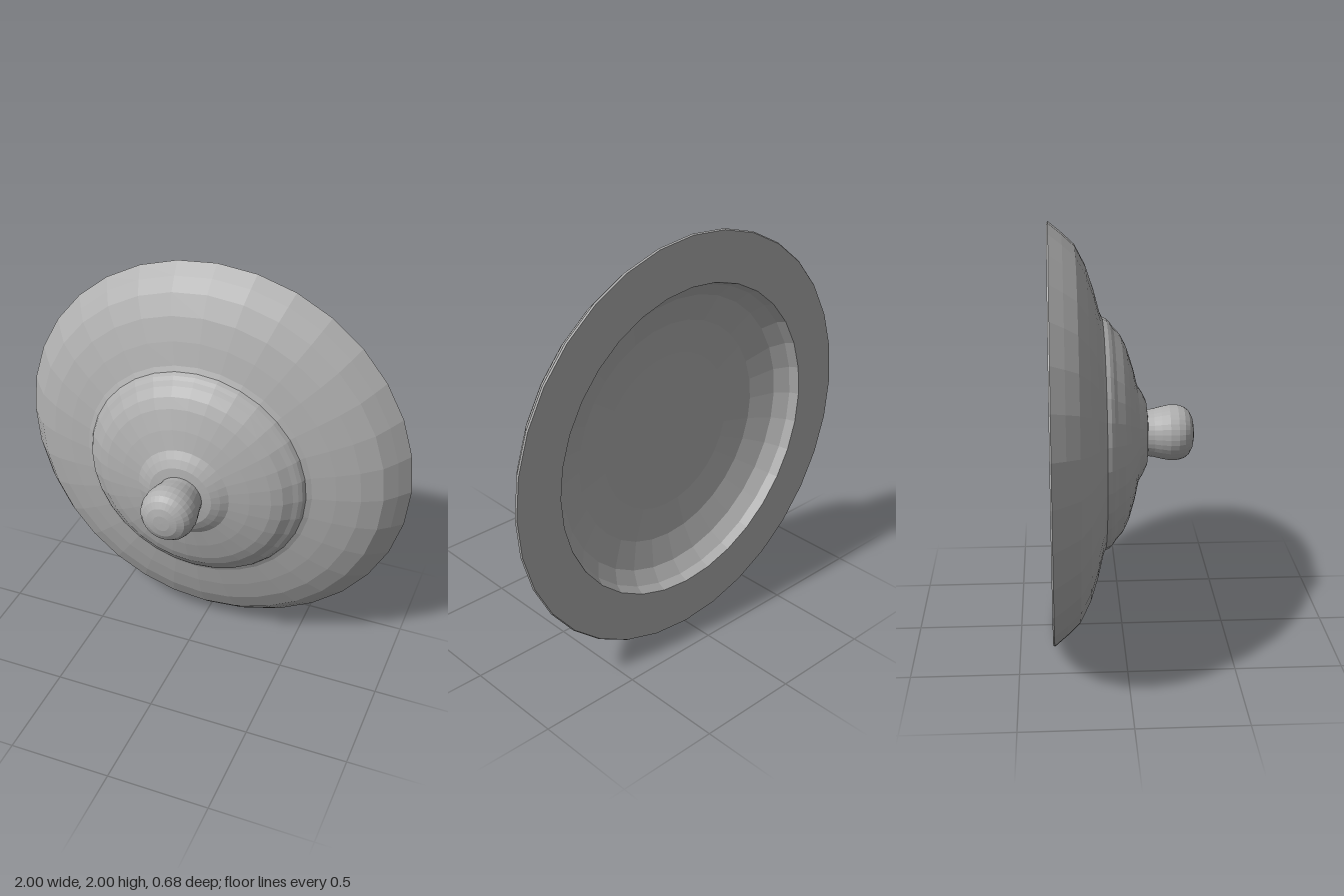
import * as THREE from 'three';

const SEGMENTS = 32;

// Turns a profile of [radius, z] points, listed from back to front, around the z axis.
function turned(name, profile, material) {
  const points = profile.map(([r, z]) => new THREE.Vector2(r, z));
  const geometry = new THREE.LatheGeometry(points, SEGMENTS);
  geometry.rotateX(Math.PI / 2);
  const mesh = new THREE.Mesh(geometry, material);
  mesh.name = name;
  return mesh;
}

export function createModel() {
  const gray = new THREE.MeshStandardMaterial({ color: 0xb0b0b0 });
  gray.name = 'plain gray';
  gray.flatShading = true;

  const model = new THREE.Group();
  model.name = 'domedLid';

  // Hollow back: flat floor, curved wall and broad flat rim
  model.add(turned('hollowBack', [
    [0, -0.195], [0.39, -0.195], [0.55, -0.21], [0.68, -0.25],
    [0.74, -0.3], [0.76, -0.342], [0.995, -0.342], [1, -0.335],
  ], gray));

  // Stepped dome, from the outer edge in to the neck
  model.add(turned('steppedDome', [
    [1, -0.335], [0.95, -0.274], [0.895, -0.215], [0.8, -0.166], [0.69, -0.13],
    [0.58, -0.102], [0.555, -0.09], [0.545, -0.07], [0.53, -0.055], [0.508, -0.04],
    [0.47, -0.005], [0.42, 0.02], [0.325, 0.05], [0.23, 0.073], [0.195, 0.096],
    [0.157, 0.114], [0.11, 0.12], [0, 0.12],
  ], gray));

  // Rounded knob flaring from a narrow neck
  model.add(turned('knob', [
    [0.11, 0.11], [0.116, 0.15], [0.125, 0.185], [0.133, 0.225], [0.132, 0.265],
    [0.123, 0.295], [0.105, 0.318], [0.075, 0.334], [0.04, 0.341], [0, 0.342],
  ], gray));

  model.position.y = 1;
  const root = new THREE.Group();
  root.add(model);
  return root;
}
